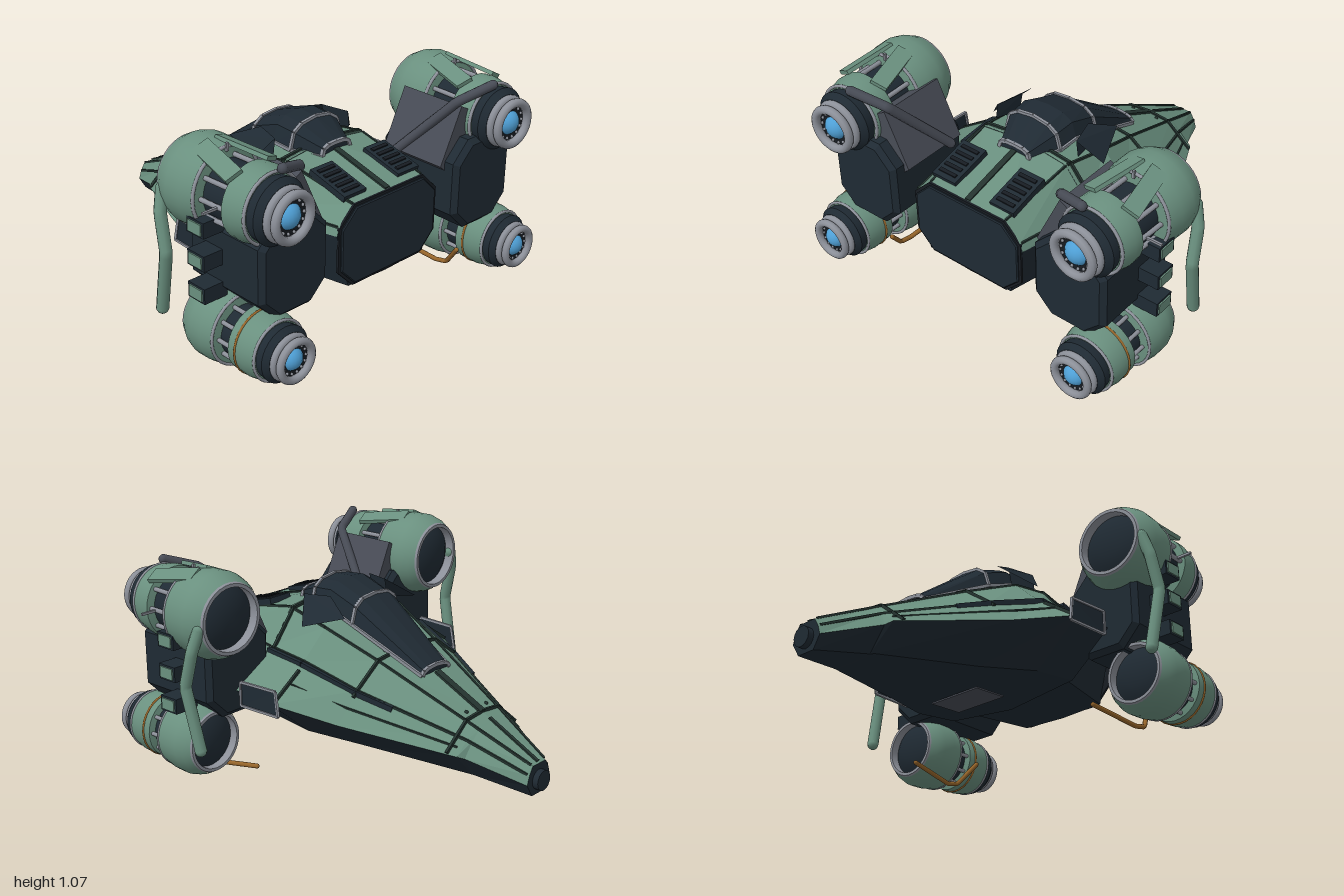
import * as THREE from 'three';
import { toCreasedNormals } from 'three/addons/utils/BufferGeometryUtils.js';

const paint = (name, color, side = THREE.FrontSide) => {
  const m = new THREE.MeshStandardMaterial({ color, side });
  m.name = name;
  return m;
};
const V = (x, y, z) => new THREE.Vector3(x, y, z);

// half cross-sections [z, [x, y]...] from the top centre down to the keel
const HULL = [
  [-0.97, [0, .25], [.05, .25], [.075, .21], [.09, .165], [.05, .10], [0, .10]],
  [-0.70, [0, .385], [.105, .375], [.155, .33], [.21, .26], [.12, .145], [0, .14]],
  [-0.68, [0, .395], [.11, .385], [.17, .335], [.245, .275], [.13, .15], [0, .145]],
  [-0.17, [0, .64], [.21, .615], [.36, .505], [.50, .37], [.29, .20], [0, .175]],
  [0.12, [0, .77], [.27, .735], [.42, .60], [.65, .445], [.40, .235], [0, .19]],
  [0.38, [0, .815], [.25, .785], [.39, .61], [.65, .46], [.40, .265], [0, .22]],
];
const REAR = [
  [0.37, [0, .815], [.25, .785], [.39, .61], [.40, .56], [.34, .30], [0, .26]],
  [0.79, [0, .705], [.225, .705], [.315, .62], [.33, .58], [.25, .30], [0, .29]],
];
const CANOPY = [
  [-0.35, [0, .585], [.055, .58], [.085, .57], [.10, .55]],
  [0.04, [0, .865], [.09, .855], [.14, .82], [.165, .74]],
  [0.20, [0, .922], [.09, .912], [.145, .88], [.168, .80]],
  [0.31, [0, .915], [.09, .902], [.138, .87], [.16, .79]],
  [0.45, [0, .83], [.05, .828], [.08, .815], [.09, .78]],
];

// skin of mirrored cross-sections; keep() picks strips by their half index
function loft(sections, keep, caps) {
  const rings = sections.map(([z, ...half]) => [
    ...half.map(([x, y]) => V(x, y, z)),
    ...half.filter(p => p[0] > 0).reverse().map(([x, y]) => V(-x, y, z)),
  ]);
  const N = rings[0].length, pts = [];
  for (let r = 0; r < rings.length - 1; r++)
    for (let i = 0; i < N; i++) {
      if (!keep(Math.min(i, N - 1 - i))) continue;
      const j = (i + 1) % N, [A, B] = [rings[r], rings[r + 1]];
      pts.push(A[i], B[i], B[j], A[i], B[j], A[j]);
    }
  if (caps) [rings[0], rings[rings.length - 1]].forEach((R, end) => {
    const c = R.reduce((s, p) => s.add(p), V(0, 0, 0)).divideScalar(N);
    R.forEach((p, i) => end ? pts.push(c, R[(i + 1) % N], p) : pts.push(c, p, R[(i + 1) % N]));
  });
  const g = new THREE.BufferGeometry().setFromPoints(pts);
  g.computeVertexNormals();
  return g;
}

// point on a skin at height-line k (fractions allowed), side s
function on(sections, z, k, s = 1) {
  let r = 0;
  while (r < sections.length - 2 && z > sections[r + 1][0]) r++;
  const [A, B] = [sections[r], sections[r + 1]], t = (z - A[0]) / (B[0] - A[0]);
  const i = Math.min(Math.floor(k), A.length - 3), f = k - i;
  const at = c => THREE.MathUtils.lerp(
    THREE.MathUtils.lerp(A[i + 1][c], A[i + 2][c], f),
    THREE.MathUtils.lerp(B[i + 1][c], B[i + 2][c], f), t);
  return V(s * at(0), at(1), z);
}

function octagon(x0, x1, y0, y1, c) {
  return new THREE.Shape([[x0 + c, y0], [x1 - c, y0], [x1, y0 + c], [x1, y1 - c],
    [x1 - c, y1], [x0 + c, y1], [x0, y1 - c], [x0, y0 + c]].map(p => new THREE.Vector2(...p)));
}

export function createModel() {
  const green = paint('hull green', 0x6a907f), navy = paint('dark navy', 0x1f2a33, THREE.DoubleSide);
  const seamMat = paint('seam dark', 0x24332f), grey = paint('light grey', 0x8c9099);
  const iron = paint('iron grey', 0x484c56), black = paint('near black', 0x171c22);
  const blue = paint('thruster blue', 0x4fa0d6), brown = paint('copper brown', 0x96652a);
  const ship = new THREE.Group();
  ship.name = 'ship';

  const add = (name, geo, mat, parent = ship) => {
    const m = new THREE.Mesh(geo, mat);
    m.name = name;
    parent.add(m);
    return m;
  };
  const beam = (name, a, b, w, h, mat) => {
    const m = add(name, new THREE.BoxGeometry(w, h, a.distanceTo(b)), mat);
    m.position.copy(a).lerp(b, .5);
    m.lookAt(b);
  };
  const chain = (name, pts, w, h, mat) => pts.slice(1).forEach((p, i) => beam(name, pts[i], p, w, h, mat));
  const box = (name, x, y, z, w, h, d, mat, parent = ship) => {
    const m = add(name, new THREE.BoxGeometry(w, h, d), mat, parent);
    m.position.set(x, y, z);
    return m;
  };
  const tube = (name, pts, r, mat) => {
    const path = new THREE.CurvePath();
    pts.slice(1).forEach((p, i) => path.add(new THREE.LineCurve3(pts[i], p)));
    add(name, new THREE.TubeGeometry(path, 24, r, 10), mat);
    [pts[0], pts[pts.length - 1]].forEach(p => add(name + 'End', new THREE.SphereGeometry(r, 10, 8), mat).position.copy(p));
  };
  const quad = (name, p, mat) => {
    const g = new THREE.BufferGeometry().setFromPoints([p[0], p[1], p[2], p[0], p[2], p[3]]);
    g.computeVertexNormals();
    add(name, g, mat);
  };
  const slab = (name, shape, z, depth, mat, bevel = 0) => {
    const g = new THREE.ExtrudeGeometry(shape, { depth, bevelEnabled: bevel > 0, bevelSize: bevel, bevelThickness: bevel, bevelSegments: 1, bevelOffset: -bevel });
    add(name, g, mat).position.z = z;
  };

  // hull skins
  add('upperHull', loft(HULL, k => k < 3, false), green);
  add('lowerHull', loft(HULL, k => k >= 3, true), navy);
  add('rearUpperBody', loft(REAR, k => k < 3, false), green);
  add('rearLowerBody', loft(REAR, k => k >= 3, true), navy);
  slab('rearPanelRim', octagon(-.322, .322, .298, .708, .095), .783, .012, black);
  slab('rearPanel', octagon(-.308, .308, .31, .695, .088), .788, .012, navy, .005);
  const cap = add('noseCap', new THREE.CylinderGeometry(.05, .05, .03, 16), navy);
  cap.rotation.x = Math.PI / 2;
  cap.position.set(0, .17, -.985);
  box('bellyPlate', 0, .181, .06, .30, .008, .19, iron).rotation.x = -.05;

  // canopy with frames
  add('canopy', loft(CANOPY, () => true, true), navy);
  for (const s of [1, -1]) {
    chain('canopySill', CANOPY.map(c => on(CANOPY, c[0], 3, s)), .016, .016, grey);
    for (const z of [-.35, .04, .31, .45])
      chain('canopyArch', [0, 1, 2, 3].map(k => on(CANOPY, z, k, s)), .016, .018, grey);
  }

  // hull seams
  const stations = [-.96, -.68, -.17, .12, .37];
  chain('noseSeam', [-.96, -.68].map(z => on(HULL, z, 0)), .018, .014, seamMat);
  beam('spineSeam', on(HULL, -.64, 0), on(HULL, -.36, 0), .038, .018, seamMat);
  beam('rearSpineSeam', on(REAR, .45, 0), on(REAR, .78, 0), .03, .014, seamMat);

  for (const s of [1, -1]) {
    const M = (x, y, z) => V(s * x, y, z);
    for (const k of [1, 2])
      chain('longSeam', stations.map(z => on(HULL, z, k, s)), .011, .011, seamMat);
    chain('shoulderGap', [-.34, -.17, .12, .37].map(z => on(HULL, z, 2.08, s)), .02, .03, navy);
    chain('sideSeam', [-.66, -.17, .12].map(z => on(HULL, z, 2.5, s)), .008, .008, seamMat);
    for (const [z, ...ks] of [[-.635, 0, 1, 2, 2.95], [-.17, .55, 1, 2, 2.2], [.11, 2.2, 2.95], [.35, .5, 1, 2]])
      chain('crossSeam', ks.map(k => on(HULL, z, k, s)), .014, .022, seamMat);
    for (const k of [1, 2]) beam('rearSeam', on(REAR, .38, k, s), on(REAR, .78, k, s), .01, .01, seamMat);
    for (const z of [-.6, -.14, .14, .32])
      add('bolt', new THREE.SphereGeometry(.01, 8, 6), seamMat).position.copy(on(HULL, z, .6, s));

    // deck vents and flaps
    const vent = new THREE.Group();
    vent.name = 'deckVent';
    vent.position.set(s * .175, .748, .635);
    vent.rotation.x = .26;
    ship.add(vent);
    box('ventFrame', 0, 0, 0, .14, .03, .23, navy, vent);
    for (let i = 0; i < 5; i++) box('ventSlat', 0, .017, -.08 + i * .04, .10, .01, .018, black, vent);
    const inner = [M(.20, .87, .15), M(.24, .865, .29)];
    quad('deckFlap', [M(.26, .80, 0), ...inner, M(.34, .735, .21)], navy);
    quad('deckFlapWall', [...inner, M(.25, .78, .29), M(.22, .76, .15)], navy);

    // side frame
    const f = [M(.655, .52, .08), M(.67, .52, .30), M(.67, .40, .30), M(.66, .40, .06)];
    quad('sideHatch', f, navy);
    chain('sideHatchFrame', [...f, f[0]], .012, .012, grey);

    // engine pylon
    const o = s > 0 ? [.42, .82] : [-.82, -.42];
    slab('pylon', octagon(...o, .335, .80, .10), .38, .43, navy, .025);
    slab('pylonPanel', octagon(o[0] + .035, o[1] - .035, .37, .765, .09), .808, .008, navy);
    slab('pylonBrace', new THREE.Shape([[.39, .68], [.46, .62], [.62, .90], [.52, .955]].map(p => new THREE.Vector2(s * p[0], p[1]))), .40, .36, iron);
    tube('pylonArm', [M(.68, 1.035, .81), M(.51, .975, .74), M(.39, .67, .47)], .024, iron);
    for (const y of [.74, .58, .42]) {
      box('connector', s * .86, y, .53, .13, .075, .11, navy);
      box('connectorCap', s * .928, y, .53, .008, .055, .085, green);
    }
    tube('outerPipe', [M(.915, .84, .30), M(.945, .74, .32), M(.955, .56, .365), M(.935, .25, .30)], .03, green);
    tube('copperPipe', [M(.575, .16, .74), M(.625, .035, .64), M(.625, .02, .57), M(.59, .06, .29)], .012, brown);
    box('engineRod', s * .93, .858, .635, .08, .012, .012, grey);
    box('engineRod', s * .735, 1.055, .525, .012, .04, .012, grey);

    // engines
    engine('upperEngine', s, .745, .858, .26, 1, false);
    engine('lowerEngine', s, .752, .21, .40, .88, true);
  }

  function engine(name, s, x, y, z, scale, banded) {
    const e = new THREE.Group();
    e.name = name;
    e.position.set(s * x, y, z);
    e.rotation.y = banded ? 0 : -s * .045;
    e.scale.setScalar(scale);
    ship.add(e);
    const gap = banded ? .355 : .41; // end of the open core
    const lathe = (part, pts, mat) => add(part, toCreasedNormals(
      new THREE.LatheGeometry(pts.map(p => new THREE.Vector2(...p)), 32).rotateX(Math.PI / 2), .5), mat, e);
    const ring = (part, r, t, zz, mat) => {
      add(part, new THREE.TorusGeometry(r, t, 10, 32), mat, e).position.z = zz;
    };
    lathe('intakeFan', [[0, .008], [.07, .015], [.12, .03], [.16, .055]], navy);
    lathe('intakeLip', [[.155, .06], [.155, 0], [.172, 0], [.18, .02]], grey);
    lathe('frontCowl', [[.178, .012], [.20, .05], [.214, .10], [.212, .18], [.198, .255], [.13, .262]], green);
    ring('cowlRing', .195, .008, .255, grey);
    lathe('core', [[.14, .25], [.14, gap + .01]], navy);
    for (let i = 0; i < 10; i++) {
      const a = i * Math.PI / 5, p = add('piston', new THREE.CylinderGeometry(.012, .012, gap - .255, 8), grey, e);
      p.rotation.x = Math.PI / 2;
      p.position.set(.153 * Math.cos(a), .153 * Math.sin(a), (gap + .26) / 2);
    }
    lathe('rearCowl', [[.13, gap - .01], [.178, gap], [.18, .46], [.165, .53], [.12, .53]], green);
    ring('rearRing', .164, .008, .53, grey);
    lathe('exhaustHousing', [[.15, .53], [.155, .575], [.13, .605], [.09, .605]], navy);
    ring('nozzleRing', .108, .022, .61, grey);
    ring('nozzleRing', .104, .022, .655, grey);
    lathe('nozzleBack', [[.10, .64], [0, .64]], black);
    for (let i = 0; i < 14; i++) {
      const a = i * Math.PI / 7;
      add('nozzleStud', new THREE.SphereGeometry(.008, 6, 5), grey, e).position.set(.076 * Math.cos(a), .076 * Math.sin(a), .643);
    }
    add('thrusterGlow', new THREE.SphereGeometry(.066, 20, 14), blue, e).position.z = .61;
    // straps bridging the open core, or a copper band
    if (banded) ring('copperBand', .178, .007, .405, brown);
    else for (const [deg, twist] of [[62, .25], [112, -.25]]) {
      const pivot = new THREE.Group();
      pivot.name = 'cowlStrap';
      pivot.rotation.z = s > 0 ? deg * Math.PI / 180 : Math.PI - deg * Math.PI / 180;
      e.add(pivot);
      const m = box('strapPlate', .196, 0, .30, .02, .085, .27, green, pivot);
      m.rotation.set(s * twist, -.05, 0);
    }
  }
  return ship;
}
